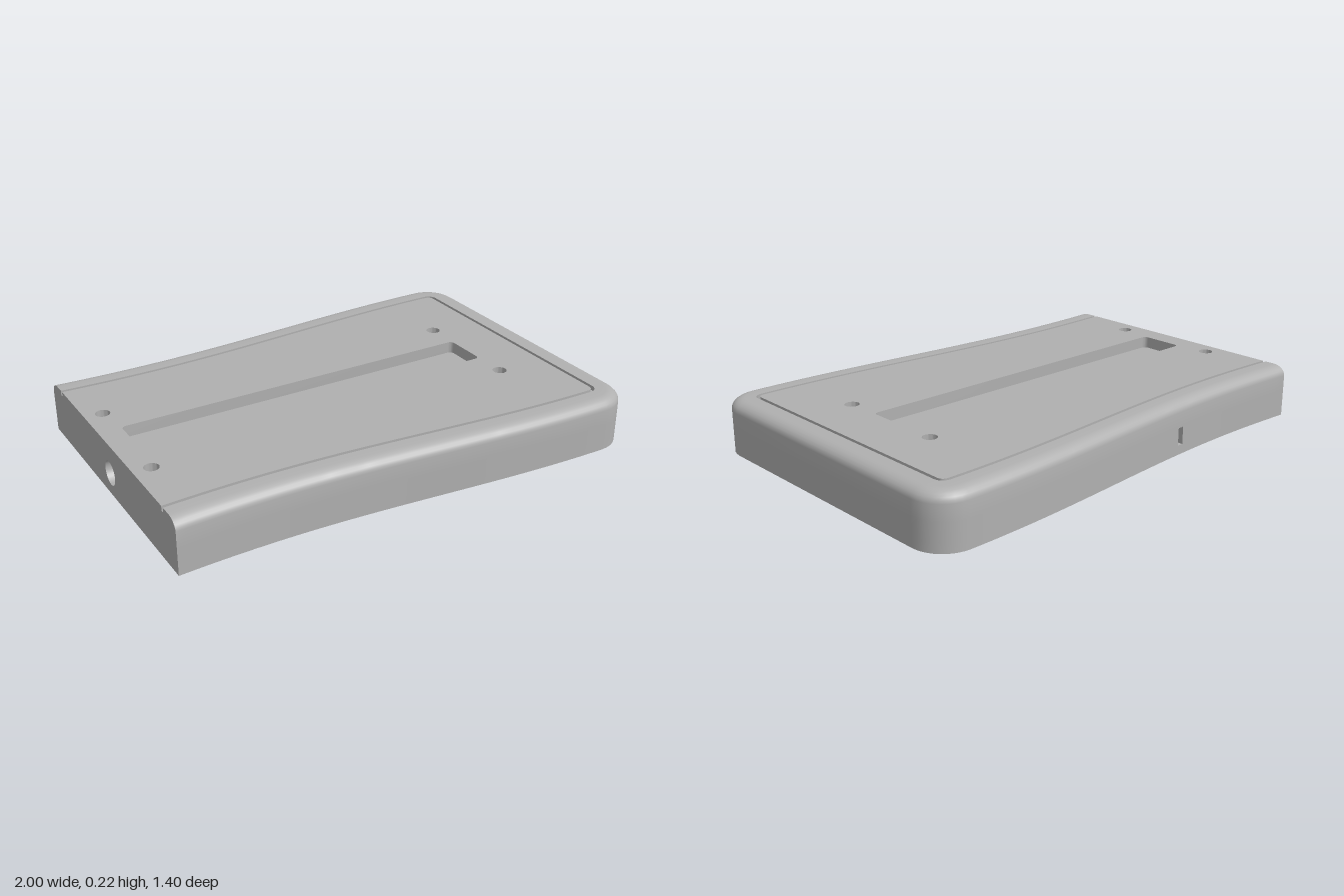
import * as THREE from 'three';
import { toCreasedNormals } from 'three/addons/utils/BufferGeometryUtils.js';

const H = 0.222, CX = 0.86, CZ = 0.56, R = 0.14;
const SLOT = { x0: -0.325, x1: -0.297, y0: 0.04, y1: 0.115 };

// half width of the waisted plan
const halfWidth = x => 0.655 - 0.045 * Math.cos(Math.PI * (x + 0.65) / 1.51);

// open plan outline at an inset: front edge, rounded end, back edge, as [x, z]
function outline(d) {
  const xs = [SLOT.x0, SLOT.x1];
  for (let i = 0; i <= 36; i++) xs.push(-1 + (1 + CX) * i / 36);
  xs.sort((a, b) => a - b);
  const front = xs.map(x => [x, halfWidth(x) - d]);
  const arc = [];
  for (let i = 1; i < 14; i++) {
    const a = Math.PI / 2 * (1 - i / 7);
    arc.push([CX + (R - d) * Math.cos(a), Math.sign(Math.sin(a)) * CZ + (R - d) * Math.sin(a)]);
  }
  // two separate quarter turns joined by the straight end
  const quarter = [];
  for (let i = 1; i <= 8; i++) {
    const a = Math.PI / 2 * (1 - i / 8);
    quarter.push([CX + (R - d) * Math.cos(a), CZ + (R - d) * Math.sin(a)]);
  }
  const half = [...front, ...quarter];
  return [...half, ...half.map(([x, z]) => [x, -z]).reverse()];
}

// edge profile as [inset, y]: wall, rounded shoulder, rim and groove
const profile = [[0, 0], [0, SLOT.y0], [0, SLOT.y1]];
for (let i = 0; i <= 6; i++) {
  const a = Math.PI / 2 * i / 6;
  profile.push([0.055 * (1 - Math.cos(a)), 0.18 + (H - 0.18) * Math.sin(a)]);
}
profile.push([0.1, H], [0.1, H - 0.02], [0.115, H - 0.02], [0.115, H]);

function geometryFrom(pos) {
  const g = new THREE.BufferGeometry();
  g.setAttribute('position', new THREE.Float32BufferAttribute(pos, 3));
  return toCreasedNormals(g, 0.5);
}

function edgeGeometry() {
  const rings = profile.map(([d, y]) => outline(d).map(([x, z]) => [x, y, z]));
  const pos = [];
  for (let j = 0; j < rings.length - 1; j++) {
    for (let i = 0; i < rings[0].length - 1; i++) {
      const a = rings[j][i], b = rings[j][i + 1], c = rings[j + 1][i + 1], d = rings[j + 1][i];
      const mid = (a[0] + b[0]) / 2;
      // leave the small opening in the back wall
      if (j === 1 && a[2] < 0 && mid > SLOT.x0 && mid < SLOT.x1) continue;
      pos.push(...a, ...b, ...c, ...a, ...c, ...d);
    }
  }
  return geometryFrom(pos);
}

const V = (x, y) => new THREE.Vector2(x, y);

function arcPoints(cx, cy, r, a0, a1, n) {
  return Array.from({ length: n + 1 }, (_, i) => {
    const a = a0 + (a1 - a0) * i / n;
    return V(cx + r * Math.cos(a), cy + r * Math.sin(a));
  });
}
const circle = (x, y, r) => arcPoints(x, y, r, 0, Math.PI * 2, 32).slice(0, -1);

function roundedRect(x0, x1, y0, y1, r) {
  const q = Math.PI / 2;
  return [[x1 - r, y0 + r, -q], [x1 - r, y1 - r, 0], [x0 + r, y1 - r, q], [x0 + r, y0 + r, 2 * q]]
    .flatMap(([x, y, a]) => arcPoints(x, y, r, a, a + q, 5));
}

// flat face with cut-outs, facing +z
function plate(points, holes) {
  const s = new THREE.Shape(points);
  s.holes = holes.map(h => new THREE.Path(h));
  return new THREE.ShapeGeometry(s);
}

// inner walls of a recess opening towards +z
function recessWalls(pts, depth) {
  const pos = [];
  pts.forEach((a, i) => {
    const b = pts[(i + 1) % pts.length];
    pos.push(a.x, a.y, 0, b.x, b.y, 0, b.x, b.y, -depth, a.x, a.y, 0, b.x, b.y, -depth, a.x, a.y, -depth);
  });
  return geometryFrom(pos);
}

export function createModel() {
  const model = new THREE.Group();
  model.name = 'base';
  const grey = new THREE.MeshStandardMaterial({ color: 0xb0b0b0, side: THREE.DoubleSide });
  grey.name = 'grey';

  const add = (name, geometry, parent = model) => {
    const m = new THREE.Mesh(geometry, grey);
    m.name = name;
    parent.add(m);
    return m;
  };
  // a face group oriented in space, with its recesses
  const face = (name, points, recesses, rotation, position) => {
    const g = new THREE.Group();
    g.name = name;
    g.rotation.set(...rotation);
    g.position.set(...position);
    if (points) add(name + 'Plate', plate(points, recesses.map(r => r.pts)), g);
    for (const r of recesses) {
      add(r.name + 'Walls', recessWalls(r.pts, r.depth), g);
      add(r.name + 'Floor', plate(r.pts, []), g).position.z = -r.depth;
    }
    model.add(g);
  };

  add('outerEdge', edgeGeometry());

  // top with long recess and four screw holes
  const topRecesses = [{ name: 'longRecess', pts: roundedRect(-0.905, 0.665, -0.1, 0.1, 0.02), depth: 0.05 }];
  for (const x of [-0.925, 0.665]) for (const z of [-0.245, 0.245])
    topRecesses.push({ name: 'screwHole', pts: circle(x, z, 0.03), depth: 0.06 });
  face('top', outline(0.115).map(([x, z]) => V(x, -z)), topRecesses, [-Math.PI / 2, 0, 0], [0, H, 0]);

  // underside with keyhole recess
  const kx = -0.31, kz = -0.36, kr = 0.085, kw = 0.025;
  const k = Math.asin(kw / kr);
  const keyhole = [
    ...arcPoints(kx, kz, kr, -Math.PI / 2 + k, Math.PI * 1.5 - k, 32),
    ...arcPoints(kx, -0.545, kw, Math.PI, Math.PI * 2, 10),
  ];
  face('underside', outline(0).map(([x, z]) => V(x, z)),
    [{ name: 'keyhole', pts: keyhole, depth: 0.13 }], [Math.PI / 2, 0, 0], [0, 0, 0]);

  // flat cut end with round socket
  const side = profile.map(([d, y]) => V(halfWidth(-1) - d, y));
  const section = [...side, ...side.map(p => V(-p.x, p.y)).reverse()];
  face('cutEnd', section, [{ name: 'socket', pts: circle(0, 0.095, 0.05), depth: 0.3 }],
    [0, -Math.PI / 2, 0], [-1, 0, 0]);

  // narrow opening through the back wall
  const opening = [V(-SLOT.x1, SLOT.y0), V(-SLOT.x0, SLOT.y0), V(-SLOT.x0, SLOT.y1), V(-SLOT.x1, SLOT.y1)];
  face('backOpening', null, [{ name: 'backSlot', pts: opening, depth: 0.045 }],
    [0, Math.PI, 0], [0, 0, -halfWidth(kx)]);

  return model;
}
